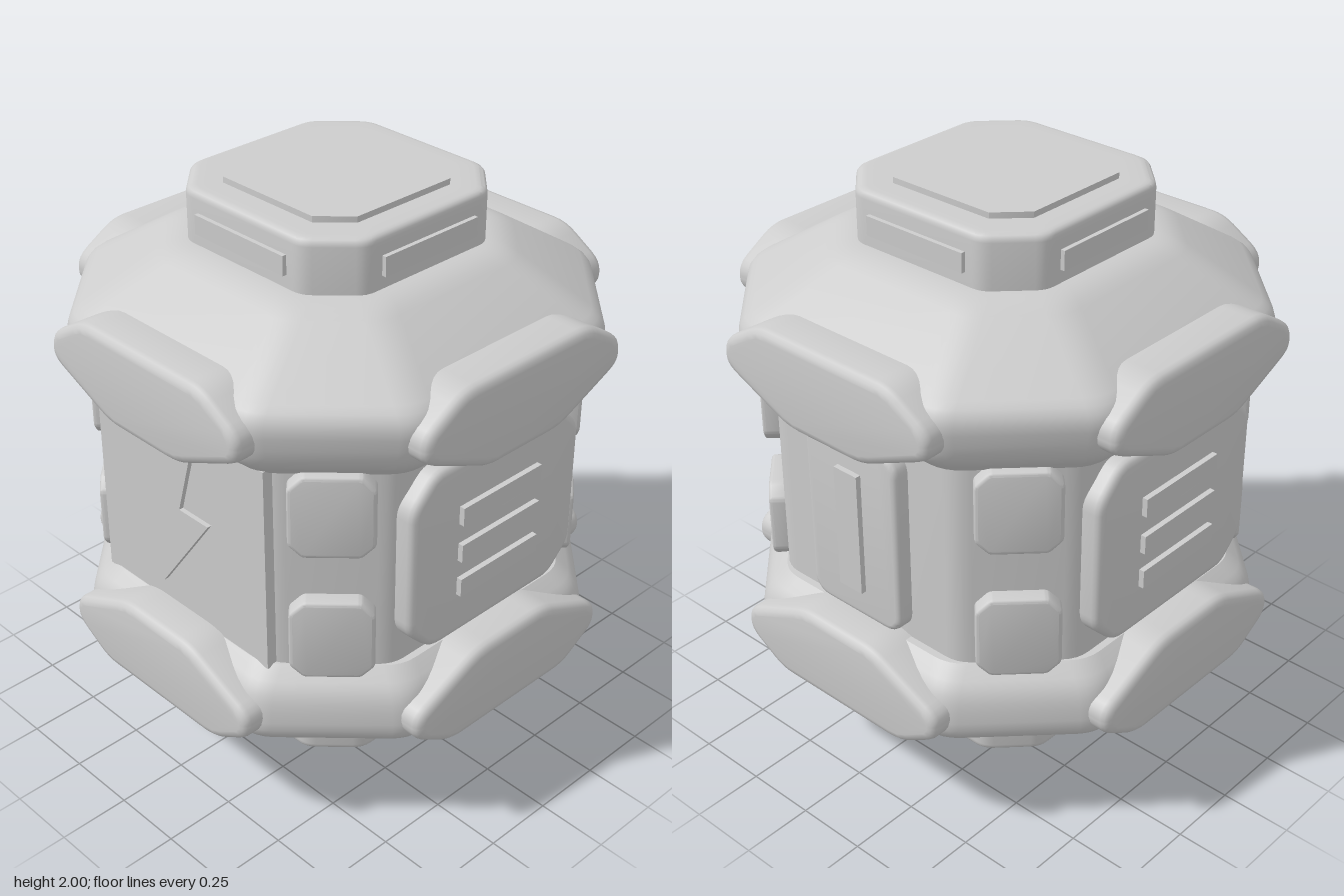
import * as THREE from 'three';
import { toCreasedNormals } from 'three/addons/utils/BufferGeometryUtils.js';

const V = (x, y) => new THREE.Vector2(x, y);
const grey = new THREE.MeshStandardMaterial({ color: 0xcccccc });
grey.name = 'light grey';

// Replace each corner of a polyline by a short curve
function roundCorners(points, r, closed = true, n = 4) {
  const out = [];
  points.forEach((p, i) => {
    if (!closed && (i === 0 || i === points.length - 1)) { out.push(p.clone()); return; }
    const a = points[(i + points.length - 1) % points.length];
    const b = points[(i + 1) % points.length];
    const cut = (q) => p.clone().lerp(q, Math.min(0.45, r / p.distanceTo(q)));
    out.push(...new THREE.QuadraticBezierCurve(cut(a), p, cut(b)).getPoints(n));
  });
  return out;
}

// Octagon: half width w, half height h, chamfer c, centred on height y (counter-clockwise)
function octagon(w, h, c, y = 0) {
  return [V(w, y - h + c), V(w, y + h - c), V(w - c, y + h), V(c - w, y + h),
    V(-w, y + h - c), V(-w, y - h + c), V(c - w, y - h), V(w - c, y - h)];
}

// Stack rounded octagons along a profile of (half width, height), bottom to top
function loft(profile, flat, cornerR) {
  const pos = [], idx = [];
  let n = 0;
  profile.forEach((p) => {
    const ring = roundCorners(octagon(p.x, p.x, p.x - flat(p.x)), cornerR);
    n = ring.length;
    ring.forEach((q) => pos.push(q.x, p.y, -q.y));
  });
  const rows = profile.length, bottom = rows * n, top = bottom + 1;
  pos.push(0, profile[0].y, 0, 0, profile[rows - 1].y, 0);
  for (let j = 0; j < n; j++) {
    const k = (j + 1) % n;
    for (let i = 0; i < rows - 1; i++) {
      const a = i * n + j, b = i * n + k;
      idx.push(a, b, b + n, a, b + n, a + n);
    }
    idx.push(bottom, k, j, top, (rows - 1) * n + j, (rows - 1) * n + k);
  }
  const g = new THREE.BufferGeometry();
  g.setAttribute('position', new THREE.Float32BufferAttribute(pos, 3));
  g.setIndex(idx);
  return toCreasedNormals(g, 0.55);
}

// Plate facing +z between z0 and z1 with a soft front edge
function plate(points, z0, z1, bevel, r = 0.03) {
  const shape = new THREE.Shape(r ? roundCorners(points, r) : points);
  const g = new THREE.ExtrudeGeometry(shape, {
    depth: z1 - z0 - 2 * bevel, bevelEnabled: bevel > 0, bevelThickness: bevel,
    bevelSize: bevel, bevelOffset: -bevel, bevelSegments: 3,
  });
  g.translate(0, 0, z0 + bevel);
  return toCreasedNormals(g, 0.6);
}

function bar(w, h, y, z0, z1) {
  return new THREE.BoxGeometry(w, h, z1 - z0).translate(0, y, (z0 + z1) / 2);
}

function add(parent, name, geometry, turn = 0) {
  const m = new THREE.Mesh(geometry, grey);
  m.name = name;
  m.rotation.y = turn;
  parent.add(m);
  return m;
}

// Everything above the middle: collar, neck, cap, bumpers and corner pads
function endAssembly(name) {
  const g = new THREE.Group();
  g.name = name;
  const collar = roundCorners([V(0.69, 1.36), V(0.765, 1.43), V(0.785, 1.59),
    V(0.46, 1.8), V(0.3, 1.8)], 0.06, false);
  add(g, 'collar', loft(collar, (h) => 0.28 + (h - 0.48) * 0.467, 0.06));
  const neck = roundCorners([V(0.4, 1.75), V(0.4, 1.98), V(0.34, 1.98)], 0.026, false);
  add(g, 'neck', loft(neck, (h) => h - 0.14, 0.035));
  add(g, 'endCap', loft([V(0.295, 1.96), V(0.295, 2)], () => 0.2, 0.002));

  const bumper = plate([V(0.16, 1.345), V(0.44, 1.47), V(0.44, 1.56), V(0.28, 1.657),
    V(-0.28, 1.657), V(-0.44, 1.56), V(-0.44, 1.47), V(-0.16, 1.345)], 0.62, 0.825, 0.03, 0.05);
  const cornerPad = plate(octagon(0.135, 0.145, 0.045, 1.23), 0.72, 0.805, 0.012, 0.012);
  const neckBar = bar(0.4, 0.066, 1.877, 0.38, 0.415);
  for (let i = 0; i < 4; i++) {
    const turn = i * Math.PI / 2;
    add(g, 'bumper', bumper, turn);
    add(g, 'cornerPad', cornerPad, turn + Math.PI / 4);
    add(g, 'neckBar', neckBar, turn);
  }
  return g;
}

export function createModel() {
  const model = new THREE.Group();
  model.name = 'container';

  // Central column
  add(model, 'body', loft([V(0.665, 0.6), V(0.665, 1.4)], () => 0.395, 0.05));

  // Two matching ends, the lower one turned over
  model.add(endAssembly('upperEnd'));
  const lower = endAssembly('lowerEnd');
  lower.rotation.x = Math.PI;
  lower.position.y = 2;
  model.add(lower);

  // Front panel with a raised zigzag
  add(model, 'frontPanel', bar(0.8, 0.74, 1, 0.6, 0.688));
  add(model, 'zigzag', plate([V(0.077, 1.278), V(-0.151, 0.971), V(-0.019, 0.971),
    V(-0.087, 0.728), V(0.151, 1.056), V(0.013, 1.056)], 0.68, 0.704, 0, 0));

  // Side panels with three ribs each
  const sidePanel = plate(octagon(0.385, 0.33, 0.1, 1.005), 0.6, 0.728, 0.025, 0.04);
  for (const turn of [Math.PI / 2, -Math.PI / 2]) {
    add(model, 'sidePanel', sidePanel, turn);
    for (const y of [0.87, 1.001, 1.139]) {
      add(model, 'sideRib', bar(0.36, 0.065, y, 0.71, 0.747), turn);
    }
  }

  // Narrow back panel with an upright rib
  add(model, 'backPanel', plate(octagon(0.2, 0.33, 0.04, 1), 0.6, 0.722, 0.02, 0.03), Math.PI);
  add(model, 'backRib', bar(0.1, 0.44, 1, 0.7, 0.741), Math.PI);

  return model;
}
